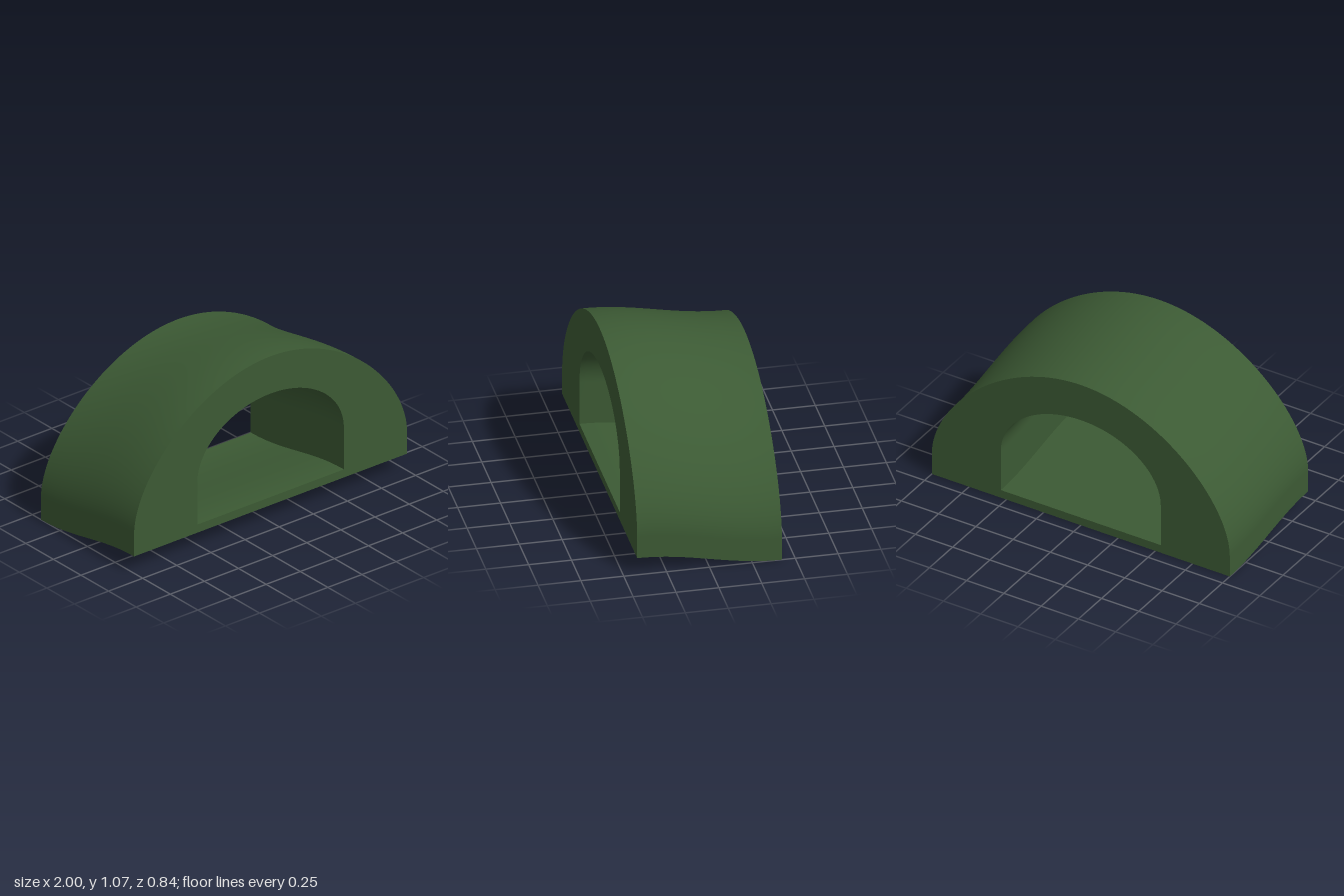
import * as THREE from 'three';

const DEPTH = 0.844, RISE = 0.108, SLICES = 24;
const v = (x, y) => new THREE.Vector2(x, y);

// Arch from the right foot over the crown to the left foot:
// straight upright, then a mirrored pair of curves meeting at the top
function archOutline(halfWidth, base, spring, shoulder, crownHandle, top, steps) {
  const curve = new THREE.CubicBezierCurve(
    v(halfWidth, spring), v(halfWidth, shoulder), v(crownHandle, top), v(0, top));
  const right = [v(halfWidth, base), ...curve.getPoints(steps)];
  const left = right.slice(0, -1).reverse().map((p) => v(-p.x, p.y));
  return [...right, ...left];
}

// Height of the gentle S-shaped slope at depth z
const slope = (z) => (RISE / 2) * (1 + Math.sin((Math.PI * z) / DEPTH));

// Sweep an open line of points from back to front along the slope
function sweptSkin(line) {
  const positions = [], index = [], n = line.length;
  for (let s = 0; s <= SLICES; s++) {
    const z = -DEPTH / 2 + (DEPTH * s) / SLICES;
    for (const p of line) positions.push(p.x, p.y + slope(z), z);
  }
  for (let s = 0; s < SLICES; s++) {
    for (let i = 0; i < n - 1; i++) {
      const a = s * n + i, b = a + 1, c = a + n, d = b + n;
      index.push(a, b, c, b, d, c);
    }
  }
  const geometry = new THREE.BufferGeometry();
  geometry.setAttribute('position', new THREE.Float32BufferAttribute(positions, 3));
  geometry.setIndex(index);
  geometry.computeVertexNormals();
  return geometry;
}

export function createModel() {
  const group = new THREE.Group();
  group.name = 'archedTunnel';
  const green = new THREE.MeshStandardMaterial({ color: 0x3c5a34 });
  green.name = 'mossGreen';

  const add = (name, geometry) => {
    const mesh = new THREE.Mesh(geometry, green);
    mesh.name = name;
    group.add(mesh);
    return mesh;
  };

  const outer = archOutline(1, 0, 0.14, 0.48, 0.54, 0.958, 32);
  const inner = archOutline(0.537, 0.052, 0.32, 0.538, 0.296, 0.718, 24);

  // Outer shell and underside
  add('outerShell', sweptSkin(outer));
  add('underside', sweptSkin([v(-1, 0), v(1, 0)]));

  // Tunnel lining and floor, facing into the opening
  add('tunnelLining', sweptSkin([...inner].reverse()));
  add('tunnelFloor', sweptSkin([v(0.537, 0.052), v(-0.537, 0.052)]));

  // Flat end faces around the opening
  const face = new THREE.Shape(outer);
  face.holes.push(new THREE.Path(inner));
  const front = add('frontFace', new THREE.ShapeGeometry(face));
  front.position.set(0, slope(DEPTH / 2), DEPTH / 2);
  const back = add('backFace', new THREE.ShapeGeometry(face));
  back.rotation.y = Math.PI;
  back.position.set(0, slope(-DEPTH / 2), -DEPTH / 2);

  return group;
}
